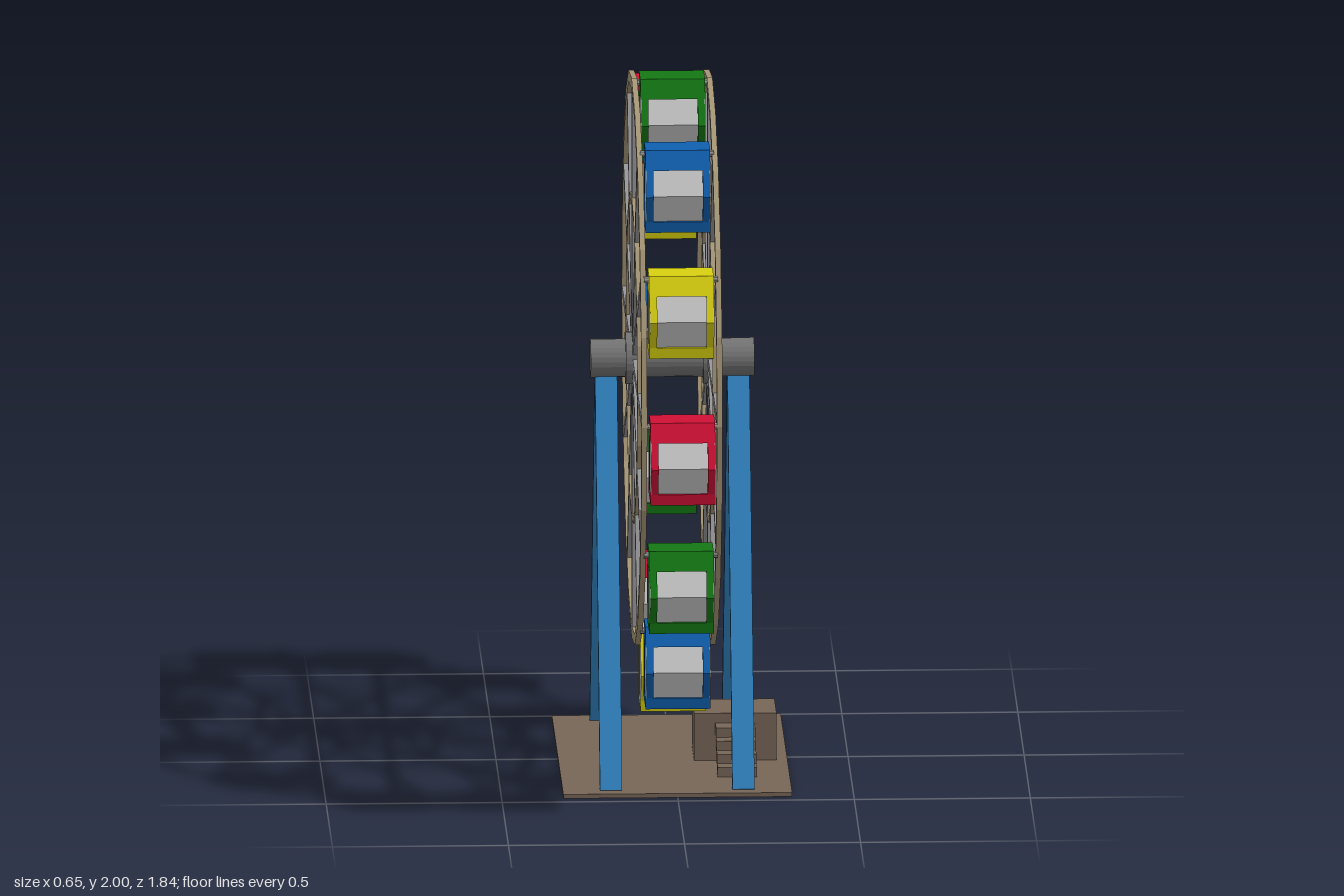
import * as THREE from 'three';

const mat = (color) => new THREE.MeshStandardMaterial({ color, flatShading: true });
const M = {
  rim: mat(0xa89878), spoke: mat(0x98989a), hub: mat(0x757575), leg: mat(0x3388c8),
  base: mat(0x776658), panel: mat(0xcccccc),
};
const CABIN = [0x147814, 0xd01034, 0xd8d010, 0x1060b0].map(mat);
const HUB_Y = 1.173, WHEEL_R = 0.805, CABINS = 12, SIDE_X = 0.107;

function add(parent, name, geometry, material, x = 0, y = 0, z = 0) {
  const mesh = new THREE.Mesh(geometry, material);
  mesh.name = name;
  mesh.position.set(x, y, z);
  parent.add(mesh);
  return mesh;
}

function box(parent, name, material, w, h, d, x, y, z) {
  return add(parent, name, new THREE.BoxGeometry(w, h, d), material, x, y, z);
}

// Cylinder lying along x
function drum(parent, name, material, r, length, x, sides = 24) {
  return add(parent, name, new THREE.CylinderGeometry(r, r, length, sides).rotateZ(Math.PI / 2), material, x);
}

// Twenty-sided hoop of rectangular section around the x axis
function hoop(parent, name, rIn, rOut, width, x) {
  const h = width / 2;
  const section = [[rOut, -h], [rOut, h], [rIn, h], [rIn, -h], [rOut, -h]].map((p) => new THREE.Vector2(...p));
  return add(parent, name, new THREE.LatheGeometry(section, 20).rotateZ(Math.PI / 2), M.rim, x);
}

// Symmetric side outline, given as [half depth, y] from top to bottom, extruded across x
function slab(parent, name, material, outline, width, x = 0) {
  const right = outline.map(([z, y]) => new THREE.Vector2(z, y));
  const left = outline.map(([z, y]) => new THREE.Vector2(-z, y)).reverse();
  const geo = new THREE.ExtrudeGeometry(new THREE.Shape([...right, ...left]), { depth: width, bevelEnabled: false });
  geo.translate(0, 0, -width / 2).rotateY(Math.PI / 2);
  return add(parent, name, geo, material, x);
}

function makeCabin(paint) {
  const cabin = new THREE.Group();
  cabin.name = 'cabin';
  const wall = [[0.079, -0.03], [0.113, -0.1], [0.08, -0.18]];
  slab(cabin, 'cabinRoof', paint, [[0.05, 0.022], [0.079, -0.03]], 0.184);
  slab(cabin, 'cabinFloor', paint, [[0.08, -0.18], [0.076, -0.212]], 0.184);
  slab(cabin, 'cabinWindows', M.panel, wall.map(([z, y]) => [z - 0.01, y]), 0.15);
  for (const s of [-1, 1]) {
    slab(cabin, 'cabinEndFrame', paint, wall, 0.02, s * 0.08);
    slab(cabin, 'cabinSidePanel', M.panel, wall.map(([z, y]) => [z - 0.002, y]), 0.003, s * 0.0905);
    // Door posts
    for (const z of [-0.025, 0, 0.025]) {
      box(cabin, 'cabinDoorPost', paint, 0.003, 0.15, z ? 0.006 : 0.014, s * 0.092, -0.105, z);
    }
  }
  drum(cabin, 'cabinPivot', M.spoke, 0.01, 0.21, 0, 8);
  return cabin;
}

function makeWheel() {
  const wheel = new THREE.Group();
  wheel.name = 'wheel';
  wheel.position.y = HUB_Y;

  // Axle and hub flanges
  drum(wheel, 'axle', M.hub, 0.055, 0.465, 0);
  for (const s of [-1, 1]) {
    drum(wheel, 'hubFlange', M.hub, 0.075, 0.046, s * 0.11);
    hoop(wheel, 'outerRim', 0.787, 0.818, 0.016, s * SIDE_X);
    hoop(wheel, 'innerRim', 0.455, 0.472, 0.016, s * SIDE_X);
  }

  for (let i = 0; i < CABINS; i++) {
    const a = (i / CABINS) * Math.PI * 2;
    // Spoke pair
    for (const s of [-1, 1]) {
      const geo = new THREE.BoxGeometry(0.014, 0.8, 0.025).translate(0, 0.4, 0).rotateX(-a);
      add(wheel, 'spoke', geo, M.spoke, s * SIDE_X);
    }
    // Cabins hang upright from the rim
    const cabin = makeCabin(CABIN[i % 4]);
    cabin.position.set(0, WHEEL_R * Math.cos(a), -WHEEL_R * Math.sin(a));
    wheel.add(cabin);
  }
  return wheel;
}

function makeSupports() {
  const supports = new THREE.Group();
  supports.name = 'supports';
  const top = 1.15, foot = 0.01, spread = 0.415;
  const length = Math.hypot(top - foot, spread);
  for (const x of [-0.188, 0.188]) {
    for (const s of [-1, 1]) {
      const leg = box(supports, 'supportLeg', M.leg, 0.063, length, 0.028, x, (top + foot) / 2, s * spread / 2);
      leg.rotation.x = -s * Math.atan2(spread, top - foot);
    }
  }
  return supports;
}

function makeGround() {
  const ground = new THREE.Group();
  ground.name = 'boardingArea';
  box(ground, 'basePlate', M.base, 0.65, 0.012, 0.92, 0, 0.006, 0);
  box(ground, 'boardingPlatform', M.base, 0.234, 0.14, 0.165, 0.177, 0.08, -0.003);
  // Steps climbing to the platform from the front
  for (let i = 0; i < 4; i++) {
    box(ground, 'step', M.base, 0.112, 0.034, 0.064, 0.176, 0.023 + i * 0.027, 0.243 - i * 0.046);
  }
  return ground;
}

export function createModel() {
  const model = new THREE.Group();
  model.name = 'ferrisWheel';
  model.add(makeWheel(), makeSupports(), makeGround());
  return model;
}
